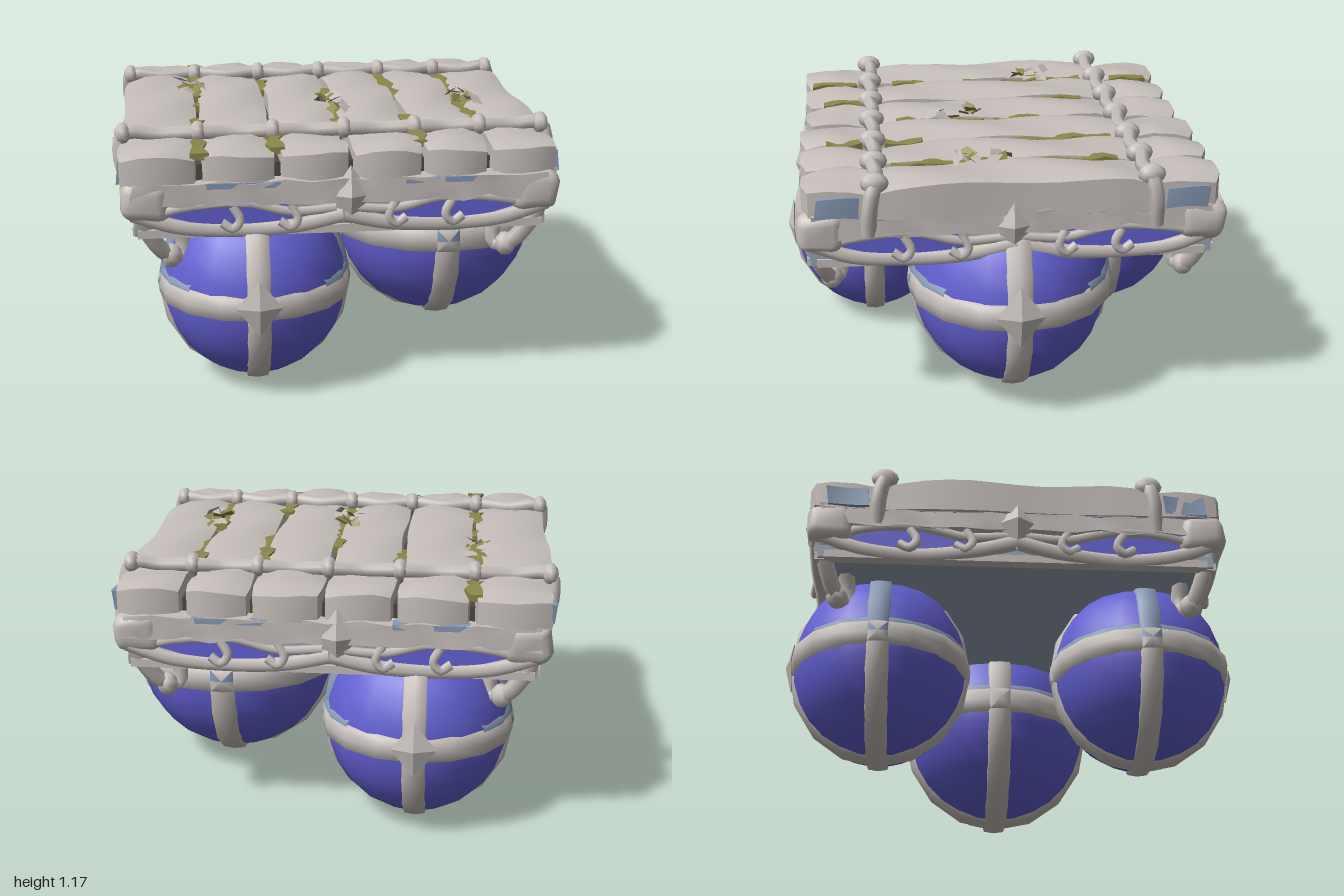
import * as THREE from 'three';
import { toCreasedNormals } from 'three/addons/utils/BufferGeometryUtils.js';
import { RoundedBoxGeometry } from 'three/addons/geometries/RoundedBoxGeometry.js';

const mat = (name, color, side = THREE.FrontSide) => {
  const m = new THREE.MeshStandardMaterial({ color, side });
  m.name = name;
  return m;
};

export function createModel() {
  const stone = mat('pale wood', 0xc6bfbb);
  const blue = mat('violet blue', 0x6360d2);
  const slate = mat('slate blue', 0x8798b4);
  const under = mat('underside grey blue', 0x98a6b3);
  const dark = mat('dark gap', 0x4e4a40);
  const moss = mat('moss', 0x8a884a, THREE.DoubleSide);
  const husk = mat('dry leaf', 0xbcb6b2, THREE.DoubleSide);

  const raft = new THREE.Group();
  raft.name = 'raft';
  const add = (name, geo, material, parent = raft, pos = [0, 0, 0]) => {
    const m = new THREE.Mesh(geo, material);
    m.name = name;
    m.position.set(...pos);
    parent.add(m);
    return m;
  };
  let seed = 7;
  const rand = () => (seed = (seed * 16807) % 2147483647) / 2147483647;

  // Moves every vertex by a rule, then keeps the hard edges sharp
  const shape = (geo, rule, crease = 0.75) => {
    const p = geo.attributes.position, v = new THREE.Vector3();
    for (let i = 0; i < p.count; i++) {
      v.fromBufferAttribute(p, i);
      rule(v);
      p.setXYZ(i, v.x, v.y, v.z);
    }
    return toCreasedNormals(geo, crease);
  };
  const wobble = (v, amt, s) => {
    const { x, y, z } = v;
    v.x += amt * Math.sin(x * 31 + z * 13 + y * 47 + s);
    v.y += amt * Math.sin(x * 23 + z * 17 + y * 11 + s * 2);
    v.z += amt * Math.sin(x * 19 + z * 7 + y * 29 + s * 3);
  };
  const tube = (pts, r, seg = 20) =>
    new THREE.TubeGeometry(new THREE.CatmullRomCurve3(pts.map(p => new THREE.Vector3(...p))), seg, r, 6);
  const profile = pts => pts.map(p => new THREE.Vector2(...p));

  // Floats: panelled balls with raised straps and a worn edge above the belt
  const strap = profile([[0.96, -0.135], [1.03, -0.11], [1.045, 0], [1.03, 0.11], [0.96, 0.135]]);
  const wornEdge = profile([[1.012, 0.1], [1.008, 0.16], [0.96, 0.185]]);
  function float(name, pos, radii, face) {
    const g = new THREE.Group();
    g.name = name;
    g.position.set(...pos);
    g.scale.set(...radii).multiplyScalar(0.96);
    raft.add(g);
    add('floatPanels', new THREE.SphereGeometry(1, 18, 14), blue, g);
    add('floatBelt', new THREE.LatheGeometry(strap, 16), stone, g);
    const away = Math.atan2(face[0], face[2]) + Math.PI / 4;
    add('wornBeltEdge', new THREE.LatheGeometry(wornEdge, 14, away, Math.PI * 1.5), slate, g);
    for (let k = 0; k < 2; k++) {
      const outward = (face[2] !== 0) === (k === 0);
      for (let half = 0; half < 2; half++) {
        const geo = new THREE.LatheGeometry(strap, 8, half * Math.PI, Math.PI);
        geo.rotateZ(Math.PI / 2).rotateY(k * Math.PI / 2);
        add('floatStrap', geo, half || outward ? stone : slate, g);
      }
    }
    const pad = add('strapPad', new THREE.OctahedronGeometry(1), stone, g, face);
    pad.scale.set(face[0] ? 0.08 : 0.24, 0.29, face[2] ? 0.08 : 0.24);
  }
  float('frontFloat', [-0.4, 0.45, 0.585], [0.425, 0.445, 0.405], [0, 0.02, 1.01]);
  float('backFloat', [-0.4, 0.45, -0.585], [0.425, 0.445, 0.405], [0, 0.02, -1.01]);
  float('leftFloat', [0.5, 0.53, -0.02], [0.49, 0.495, 0.46], [1.01, 0.02, 0]);

  // Deck core
  const cx = -0.04;
  add('deckUnderside', new THREE.BoxGeometry(1.73, 0.2, 1.7), under, raft, [cx, 0.85, 0]);
  add('deckCore', new THREE.BoxGeometry(1.7, 0.1, 1.6), dark, raft, [cx, 0.99, 0]);

  // Planks, pinched where the ropes cross
  const edges = [-0.97, -0.632, -0.312, -0.005, 0.302, 0.587, 0.885];
  for (let i = 0; i < 6; i++) {
    const w = edges[i + 1] - edges[i] - 0.018, h = 0.15, len = 1.8 - (i % 3) * 0.02;
    const geo = shape(new THREE.BoxGeometry(w, h, len, 4, 2, 18), v => {
      const t = Math.abs(v.z) / (len / 2);
      const side = Math.abs(v.x) / (w / 2);
      const pinch = Math.max(0, 1 - Math.abs(Math.abs(v.z) - 0.58) / 0.1);
      if (v.y > 0.01) {
        v.y += 0.014 - 0.022 * t * t - 0.022 * pinch - (side > 0.9 ? 0.018 : 0);
        v.y += 0.009 * Math.sin(v.z * 9 + i * 2 + v.x * 14);
      }
      if (t > 0.99) {
        v.x *= 0.94;
        v.y *= 0.82;
        v.z -= Math.sign(v.z) * 0.03 * side ** 4;
      }
      v.x *= 1 - 0.05 * pinch;
      v.x += 0.007 * Math.sin(v.z * 7 + i);
    }, 0.6);
    add('plank', geo, stone, raft, [(edges[i] + edges[i + 1]) / 2, 1.04, 0]);
  }

  // Worn patches on the outer plank sides, between rope and corner
  for (const sz of [-1, 1]) for (const x of [-0.96, 0.875]) {
    const geo = shape(new THREE.BoxGeometry(0.022, 0.09, 0.18, 1, 1, 4), v => wobble(v, 0.006, x));
    add('wornPatch', geo, slate, raft, [x, 1.02, sz * 0.73]);
  }

  // Moss in the gaps: [gap, start z, end z]
  const patches = [[1, -0.84, -0.66], [1, -0.5, -0.1], [1, 0.02, 0.1], [1, 0.28, 0.46], [1, 0.64, 0.86],
    [2, -0.46, -0.22], [2, 0.62, 0.8], [3, -0.22, 0], [3, 0.05, 0.46], [4, -0.5, 0], [4, 0.35, 0.52],
    [4, 0.62, 0.78], [5, -0.48, -0.1], [5, -0.02, 0.5]];
  for (const [gap, z0, z1] of patches) {
    const n = Math.ceil((z1 - z0) / 0.06);
    const geo = shape(new THREE.BoxGeometry(0.058, 0.03, z1 - z0, 1, 1, n), v => {
      v.x += 0.013 * Math.sin(v.z * 41 + gap * 2 + Math.sign(v.x));
      v.y += 0.006 * Math.sin(v.z * 29 + gap);
    });
    add('mossStrip', geo, moss, raft, [edges[gap], 1.095, (z0 + z1) / 2]);
  }

  // Leaf clusters
  for (const [x, z] of [[-0.65, -0.27], [-0.01, 0.2], [0.61, 0.1]]) {
    for (let i = 0; i < 12; i++) {
      const leaf = new THREE.CircleGeometry(0.048, 4);
      leaf.scale(1, 0.6, 1);
      const m = add('leaf', leaf, i % 2 ? moss : husk, raft,
        [x + (rand() - 0.5) * 0.1, 1.12 + rand() * 0.03, z + (rand() - 0.5) * 0.24]);
      m.rotation.set(-Math.PI / 2 + (rand() - 0.5) * 1.4, (rand() - 0.5) * 1.4, rand() * 6);
    }
  }

  // Ropes over the planks, tied at each gap
  for (const s of [-1, 1]) {
    const z = s * 0.575;
    const pts = [[-0.93, 0.9, z + s * 0.03], [-0.965, 1.03, z + s * 0.02], [-0.95, 1.12, z]];
    for (let i = 0; i < 6; i++) {
      pts.push([(edges[i] + edges[i + 1]) / 2, 1.11, z - s * 0.012]);
      if (i < 5) pts.push([edges[i + 1], 1.12, z + s * 0.008]);
    }
    pts.push([0.86, 1.12, z], [0.885, 1.03, z + s * 0.02], [0.86, 0.9, z + s * 0.03]);
    add('rope', tube(pts, 0.033, 56), stone);
    for (const x of [-0.95, ...edges.slice(1, 6), 0.86]) {
      const knot = add('ropeKnot', new THREE.SphereGeometry(1, 8, 6), stone, raft, [x, 1.122, z]);
      knot.scale.set(0.036, 0.046, 0.06);
    }
  }

  // Skirt on all four sides: beam, ledge, blue panels, swags, hooks and a diamond boss
  const panelOutline = [[0.12, 0.82], [0.24, 0.875], [0.42, 0.9], [0.66, 0.89], [0.74, 0.84], [0.55, 0.785], [0.3, 0.78]];
  for (let k = 0; k < 4; k++) {
    const onX = k % 2 === 1;
    const half = onX ? 0.84 : 0.87, dist = onX ? 0.87 : 0.86;
    const g = new THREE.Group();
    g.name = ['frontSkirt', 'leftSkirt', 'backSkirt', 'rightSkirt'][k];
    g.position.x = cx;
    g.rotation.y = k * Math.PI / 2;
    raft.add(g);
    const beam = shape(new THREE.BoxGeometry(half * 2, 0.1, 0.08, 14, 2, 1), v => wobble(v, 0.008, k));
    add('beam', beam, stone, g, [0, 0.935, dist]);
    const boss = add('diamondBoss', new THREE.OctahedronGeometry(1), stone, g, [onX ? 0 : 0.03, 0.915, dist + 0.03]);
    boss.scale.set(0.085, 0.13, k === 3 ? 0.065 : 0.045);
    for (const s of [-1, 1]) {
      add('ledge', new THREE.BoxGeometry(0.32, 0.024, 0.06), slate, g, [s * 0.42, 0.972, dist + 0.01]);
      const outline = new THREE.Shape(profile(panelOutline.map(([x, y]) => [s * x, y])));
      add('bluePanel', new THREE.ShapeGeometry(outline), blue, g, [0, 0, dist + 0.002]);
      add('swag', tube([[s * half, 0.85, dist], [s * 0.68, 0.79, dist], [s * 0.45, 0.768, dist - 0.01],
        [s * 0.2, 0.785, dist + 0.01], [0, 0.83, dist + 0.02]], 0.032), stone, g);
      add('bottomRim', new THREE.BoxGeometry(half * 0.98, 0.035, 0.05), stone, g, [s * half * 0.49, 0.762, dist - 0.02]);
      add('upperSwag', tube([[s * 0.8, 0.84, dist], [s * 0.66, 0.88, dist + 0.02], [s * 0.42, 0.895, dist + 0.02],
        [s * 0.22, 0.85, dist + 0.02], [s * 0.03, 0.86, dist + 0.02]], 0.02), stone, g);
      for (const t of [0.22, 0.46]) {
        add('hook', tube([[s * t, 0.88, dist + 0.02], [s * (t - 0.03), 0.82, dist + 0.03],
          [s * t, 0.785, dist + 0.03], [s * (t + 0.045), 0.81, dist + 0.02]], 0.02, 10), stone, g);
      }
    }
  }

  // Corner blocks with hanging loops
  for (const sx of [-1, 1]) for (const sz of [-1, 1]) {
    const block = shape(new RoundedBoxGeometry(0.2, 0.17, 0.2, 2, 0.05), v => wobble(v, 0.006, sx + 2 * sz));
    add('cornerBlock', block, stone, raft, [cx + sx * 0.82, 0.905, sz * 0.805]);
    const at = (dx, y, dz) => [cx + sx * dx, y, sz * dz];
    add('cornerLoop', tube([at(0.85, 0.86, 0.85), at(0.81, 0.75, 0.82), at(0.74, 0.65, 0.78),
      at(0.68, 0.63, 0.74), at(0.67, 0.69, 0.73), at(0.71, 0.79, 0.74)], 0.036), stone);
    const tip = add('loopKnot', new THREE.SphereGeometry(0.048, 8, 6), stone, raft, at(0.72, 0.635, 0.77));
    tip.scale.y = 1.1;
  }
  return raft;
}
